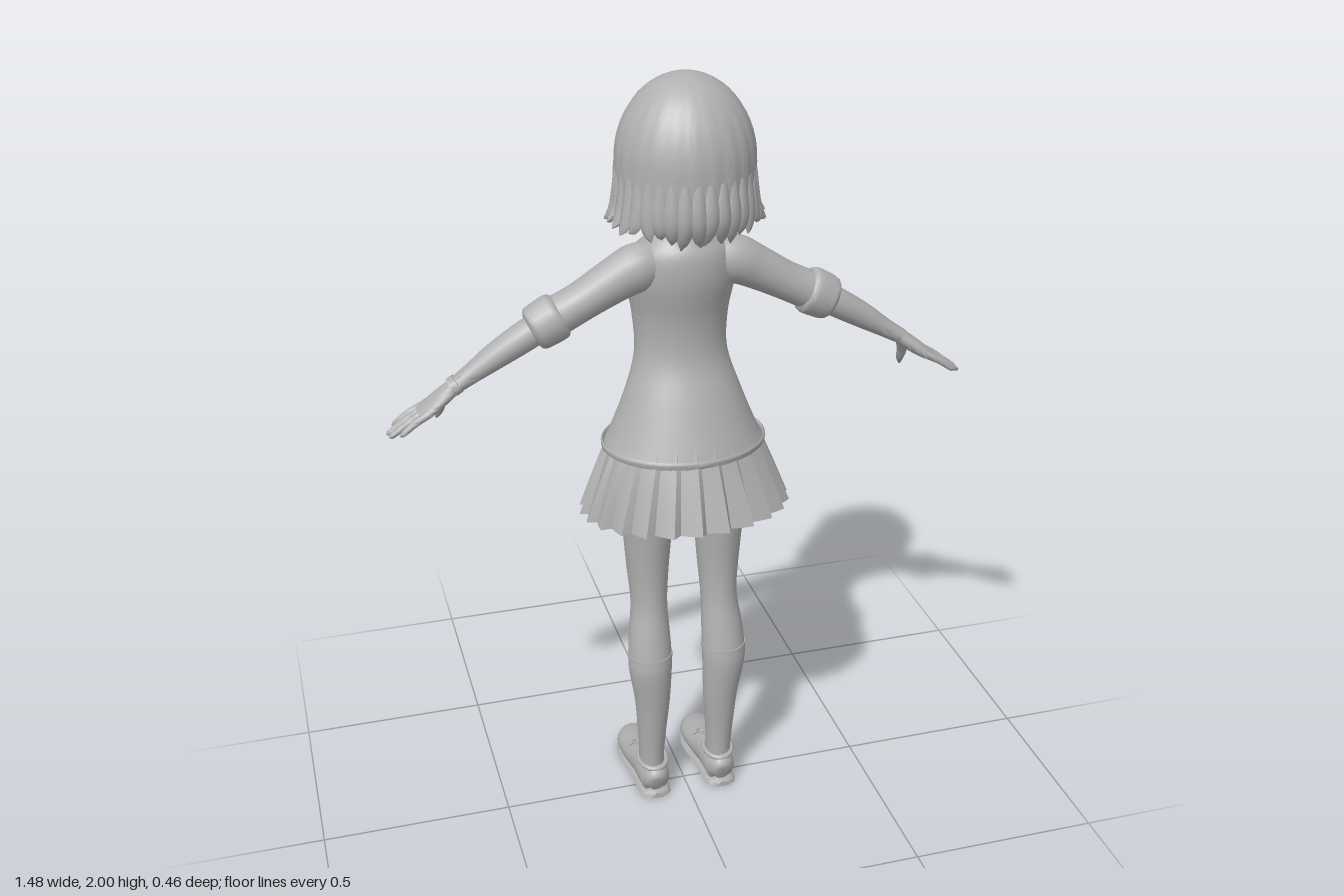
import * as THREE from 'three';
import { toCreasedNormals } from 'three/addons/utils/BufferGeometryUtils.js';

const V = (x, y, z) => new THREE.Vector3(x, y, z);
const clayGrey = new THREE.MeshStandardMaterial({ color: 0xb0b0b0, side: THREE.DoubleSide });
clayGrey.name = 'clayGrey';

// Surface from a rule: i runs around, j runs along
function surface(rule, nu, nv, crease = 0.9) {
  const pos = [], idx = [];
  for (let j = 0; j <= nv; j++) for (let i = 0; i <= nu; i++) pos.push(...rule(i / nu, j).toArray());
  for (let j = 0; j < nv; j++) for (let i = 0; i < nu; i++) {
    const a = j * (nu + 1) + i, d = a + nu + 1;
    idx.push(a, a + 1, d + 1, a, d + 1, d);
  }
  const g = new THREE.BufferGeometry();
  g.setAttribute('position', new THREE.Float32BufferAttribute(pos, 3));
  g.setIndex(idx);
  return toCreasedNormals(g, crease);
}

// Elliptical loft through sections [x, y, z, radius along ref, radius across]
function loft(sections, o = {}) {
  const { ref = V(0, 0, 1), dir = null, nu = 20, arc = Math.PI, cap = true, minY = -9 } = o;
  const n = (sections.length - 1) * (o.steps || 4);
  const path = new THREE.CatmullRomCurve3(sections.map(s => V(s[0], s[1], s[2])), false, 'catmullrom', 0.5);
  const rad = new THREE.CatmullRomCurve3(sections.map(s => V(s[3], s[4], 0)), false, 'catmullrom', 0.5);
  const rings = [];
  for (let k = 0; k <= n; k++) {
    const c = path.getPoint(k / n), r = rad.getPoint(k / n), w = dir || path.getTangent(k / n);
    const u = ref.clone().addScaledVector(w, -ref.dot(w)).normalize();
    rings.push({ c, u: u.clone().multiplyScalar(r.x), v: w.clone().cross(u).multiplyScalar(r.y) });
  }
  const e = cap ? 1 : 0;
  return surface((s, j) => {
    const k = Math.min(n, Math.max(0, j - e)), th = -arc + 2 * arc * s, R = rings[k];
    const p = R.c.clone();
    if (!(cap && (j === 0 || j === n + 2))) p.addScaledVector(R.u, Math.cos(th)).addScaledVector(R.v, Math.sin(th));
    p.y = Math.max(p.y, minY);
    return p;
  }, nu, n + 2 * e);
}

const UP = V(0, 1, 0);
// Body profile rows [y, back z, front z, half width]
const body = (rows, x = 0, k = 1) => rows.map(([y, b, f, w, dx = 0]) => [x + dx, y, (b + f) / 2, (b - f) / 2 * k, w * k]);

const TORSO = [[1.06, 0.165, -0.17, 0.205], [1.1, 0.15, -0.16, 0.185], [1.2, 0.11, -0.13, 0.146], [1.3, 0.07, -0.122, 0.116],
  [1.4, 0.068, -0.138, 0.119], [1.5, 0.088, -0.142, 0.135], [1.57, 0.088, -0.11, 0.122], [1.61, 0.07, -0.065, 0.085], [1.63, 0.055, -0.04, 0.05]];
const LEG = [[0.06, 0.055, -0.03, 0.033], [0.12, 0.058, -0.03, 0.034], [0.2, 0.066, -0.025, 0.039], [0.3, 0.078, -0.02, 0.047],
  [0.4, 0.09, -0.021, 0.057, 0.006], [0.45, 0.088, -0.025, 0.058, 0.006], [0.52, 0.075, -0.038, 0.054, 0.004], [0.6, 0.06, -0.057, 0.048],
  [0.7, 0.057, -0.074, 0.055], [0.85, 0.07, -0.08, 0.067], [1.0, 0.08, -0.09, 0.08]];
const HEAD = [[1.637, -0.085, -0.125, 0.02], [1.66, 0.0, -0.138, 0.06], [1.7, 0.06, -0.14, 0.1], [1.75, 0.1, -0.14, 0.122],
  [1.82, 0.12, -0.142, 0.13], [1.9, 0.1, -0.11, 0.11], [1.95, 0.05, -0.05, 0.05]];

// Hair volume: theta 0 is the back, PI is the face side
function hairPoint(th, y, k = 1) {
  const r = (y > 1.8 ? Math.sqrt(Math.max(0, 1 - ((y - 1.8) / 0.2) ** 2)) : 1) * k * 0.165;
  return V(r * Math.sin(th), y, 0.015 + r * Math.cos(th));
}
const faceSide = th => THREE.MathUtils.smoothstep((1 - Math.cos(th)) / 2, 0.7, 0.86);
const hairHem = th => THREE.MathUtils.lerp(1.68, 1.85, faceSide(th));

export function createModel() {
  const root = new THREE.Group();
  root.name = 'girl';
  const add = (name, geo, parent = root) => {
    const m = new THREE.Mesh(geo, clayGrey);
    m.name = name;
    parent.add(m);
    return m;
  };
  const group = name => {
    const g = new THREE.Group();
    g.name = name;
    root.add(g);
    return g;
  };

  // Head and face
  add('head', loft(body(HEAD), { dir: UP, nu: 32 }));
  add('neck', loft([[0, 1.56, 0.02, 0.045, 0.045], [0, 1.63, 0.005, 0.042, 0.042], [0, 1.7, 0, 0.045, 0.045]], { dir: UP }));
  add('nose', loft([[0, 1.748, -0.136, 0.004, 0.004], [0, 1.722, -0.145, 0.011, 0.009], [0, 1.714, -0.138, 0.004, 0.006]], { dir: UP, nu: 10 }));
  add('mouth', new THREE.SphereGeometry(1, 12, 6)).scale.set(0.018, 0.002, 0.004);
  root.children.at(-1).position.set(0, 1.684, -0.139);
  for (const s of [-1, 1]) {
    const eye = group('eye');
    eye.position.set(s * 0.052, 1.747, -0.126);
    eye.rotation.y = s * -0.38 + Math.PI;
    eye.rotation.y = Math.PI - s * 0.38;
    add('iris', new THREE.SphereGeometry(1, 16, 8), eye).scale.set(0.018, 0.024, 0.004);
    const lash = add('eyelash', new THREE.TorusGeometry(0.026, 0.0025, 5, 14, 2.5), eye);
    lash.rotation.z = 0.32;
    add('ear', new THREE.SphereGeometry(1, 12, 8)).scale.set(0.014, 0.032, 0.022);
    root.children.at(-1).position.set(s * 0.128, 1.735, -0.02);
  }

  // Hair: cap with soft grooves, then tapered locks along its hem
  const hair = group('hair');
  add('hairCap', surface((s, j) => {
    const th = s * Math.PI * 2, t = j / 18, h = hairHem(th);
    const y = h + (2 - h) * Math.sin(t * Math.PI / 2);
    return hairPoint(th, y, 1 + 0.02 * Math.abs(Math.sin(th * 11)) * (1 - t));
  }, 132, 18), hair);
  for (let i = 0; i < 34; i++) {
    const th = (i + 0.5) / 34 * Math.PI * 2, f = faceSide(th), side = Math.abs(Math.sin(th)) * (1 - f);
    const h = hairHem(th), vary = ((i * 7) % 5) / 5;
    const tip = h - THREE.MathUtils.lerp(0.065 - 0.04 * side, 0.06, f) - 0.02 * (vary - 0.5);
    const turn = ((i * 3) % 4 - 1.5) * 0.05;
    const out = THREE.MathUtils.lerp(0.84 + 0.34 * side * side, 0.97, f);
    const pts = [[th, h + 0.1, 0.97, 0.008, 0.012], [th, h + 0.02, 1.0, 0.013, 0.022],
      [th + turn * 0.4, (h + tip) / 2, (1 + out) / 2, 0.009, 0.016], [th + turn, tip, out, 0.001, 0.001]];
    add('hairLock', loft(pts.map(([a, y, k, r1, r2]) => [...hairPoint(a, y, k).toArray(), r1, r2]),
      { ref: V(Math.sin(th), 0, Math.cos(th)), nu: 8, steps: 3 }), hair);
  }
  // Two crossed bars as a hair clip
  for (const r of [-0.5, 0.5]) {
    const clip = add('hairClip', new THREE.BoxGeometry(0.035, 0.005, 0.006), hair);
    clip.position.set(-0.075, 1.835, -0.143);
    clip.rotation.set(0, -0.45, r);
  }

  // Shirt, open cardigan and its edging
  add('shirt', loft(body(TORSO, 0, 0.965), { dir: UP, nu: 40 }));
  const open = Math.PI - 0.3;
  add('cardigan', loft(body(TORSO.slice(0, -1), 0, 1.01), { dir: UP, nu: 44, arc: open, cap: false }));
  for (const s of [-1, 1]) {
    const edge = body(TORSO.slice(0, -1), 0, 1.012).map(([x, y, z, rz, rx]) =>
      [x + s * rx * Math.sin(open), y, z + rz * Math.cos(open), 0.004, 0.01]);
    add('cardiganEdge', loft(edge, { dir: UP, nu: 8 }));
    add('shirtTail', loft([[s * 0.035, 1.02, -0.172, 0.002, 0.003], [s * 0.035, 1.07, -0.165, 0.004, 0.035], [s * 0.03, 1.12, -0.148, 0.004, 0.032]], { dir: UP, nu: 8 }));
  }
  add('cardiganHem', surface((s, j) => {
    const th = -open + 2 * open * s, a = j / 8 * Math.PI * 2, k = 1.01 + 0.02 * Math.cos(a);
    return V(0.205 * k * Math.sin(th), 1.068 + 0.01 * Math.sin(a), -0.0025 + 0.1675 * k * Math.cos(th));
  }, 44, 8));

  // Collar with points at the front
  const ca = Math.PI - 0.14;
  add('collar', surface((s, j) => {
    const th = -ca + 2 * ca * s, f = (1 - Math.cos(th)) / 2, t = [0, 0.5, 1, 1.6][j];
    const point = Math.exp(-(((Math.abs(th) - 2.65) / 0.35) ** 2));
    const r = t <= 1 ? 0.075 - 0.023 * t + 0.012 * point * (1 - t) : 0.046;
    const y = 1.6 + 0.045 * Math.min(t, 2 - t) - 0.045 * f - 0.035 * point * Math.max(0, 1 - t);
    return V(r * Math.sin(th), y, 0.01 - 0.03 * f + r * Math.cos(th));
  }, 40, 3));

  // Neck ribbon and shirt buttons
  add('ribbonKnot', new THREE.SphereGeometry(0.014, 12, 8)).position.set(0, 1.545, -0.125);
  for (const s of [-1, 1]) {
    add('ribbonTail', loft([[0, 1.545, -0.125, 0.004, 0.006], [s * 0.012, 1.48, -0.148, 0.004, 0.01],
      [s * 0.014, 1.42, -0.147, 0.004, 0.012], [s * 0.022, 1.35, -0.144, 0.003, 0.007]], { nu: 8 }));
    add('ribbonLoop', new THREE.TorusGeometry(0.02, 0.004, 6, 16)).scale.set(0.6, 1.4, 0.8);
    const loop = root.children.at(-1);
    loop.position.set(s * 0.014, 1.52, -0.135);
    loop.rotation.z = s * 0.4;
  }
  [[1.32, -0.121], [1.24, -0.121], [1.16, -0.139]].forEach(([y, z]) =>
    add('button', new THREE.SphereGeometry(0.006, 8, 6)).position.set(0, y, z));

  // Pleated skirt: each pleat rises slowly and folds back sharply
  const PLEATS = 24;
  add('skirt', surface((s, j) => {
    const t = j / 8, n = s * PLEATS, ph = n - Math.floor(n + 1e-6);
    const tooth = ph < 0.8 ? ph / 0.8 : (1 - ph) / 0.2;
    const th = s * Math.PI * 2, k = 1 + (0.02 + 0.07 * (1 - t)) * (tooth - 0.6);
    const flare = (1 - t) ** 0.85;
    return V((0.165 + 0.1 * flare) * k * Math.sin(th), 0.885 + 0.245 * t + 0.015 * (1 - t) * Math.cos(th),
      0.008 * flare - 0.005 * t + (0.14 + 0.073 * flare) * k * Math.cos(th));
  }, PLEATS * 5, 8, 0.5));

  for (const s of [-1, 1]) {
    // Leg with sock band
    add('leg', loft(body(LEG.map(r => [...r.slice(0, 4), s * (r[4] || 0)]), s * 0.096), { dir: UP, nu: 24 }));
    add('sockTop', loft([[s * 0.102, 0.445, 0.032, 0.0585, 0.0595], [s * 0.102, 0.458, 0.031, 0.0585, 0.0595]], { dir: UP, nu: 24 }));

    // Shoe: upper, sole, collar and laces
    const shoe = group('shoe'), x = s * 0.094, ref = UP;
    add('shoeUpper', loft([[x, 0.04, 0.068, 0.025, 0.02], [x, 0.048, 0.05, 0.05, 0.038], [x, 0.05, 0.01, 0.05, 0.043], [x, 0.048, -0.04, 0.05, 0.045],
      [x, 0.036, -0.1, 0.044, 0.052], [x, 0.028, -0.17, 0.036, 0.054], [x, 0.025, -0.21, 0.027, 0.04], [x, 0.02, -0.226, 0.012, 0.018]], { ref, minY: 0.004 }), shoe);
    add('shoeSole', loft([[x, 0, 0.073, 0.015, 0.016], [x, 0, 0.05, 0.018, 0.042], [x, 0, -0.04, 0.018, 0.046],
      [x, 0, -0.13, 0.018, 0.058], [x, 0, -0.2, 0.018, 0.048], [x, 0, -0.23, 0.014, 0.016]], { ref, minY: 0 }), shoe);
    const rim = add('shoeCollar', new THREE.TorusGeometry(0.04, 0.007, 8, 24), shoe);
    rim.position.set(x, 0.097, 0.015);
    rim.rotation.x = Math.PI / 2 + 0.1;
    rim.scale.set(0.95, 1.2, 1);
    for (const side of [-1, 1]) {
      const bow = add('laceBow', new THREE.TorusGeometry(0.016, 0.003, 6, 14), shoe);
      bow.position.set(x + side * 0.02, 0.094, -0.065);
      bow.rotation.set(1.2, side * 0.3, 0);
      add('lace', loft([[x, 0.093, -0.06, 0.003, 0.003], [x + side * 0.025, 0.088, -0.08, 0.003, 0.003], [x + side * 0.04, 0.07, -0.09, 0.003, 0.003]], { nu: 6 }), shoe);
    }

    // Sleeve, rolled cuff, forearm and hand
    const arm = group('arm');
    const limb = (name, rows, nu = 18) => add(name, loft(rows.map(([px, ...r]) => [s * px, ...r]), { nu }), arm);
    limb('sleeve', [[0.07, 1.55, 0.015, 0.045, 0.05], [0.12, 1.54, 0.015, 0.056, 0.06], [0.18, 1.51, 0.012, 0.053, 0.054], [0.26, 1.465, 0.01, 0.05, 0.048], [0.34, 1.425, 0.01, 0.051, 0.05]]);
    limb('rolledCuff', [[0.308, 1.441, 0.01, 0.049, 0.049], [0.318, 1.436, 0.01, 0.056, 0.059], [0.345, 1.422, 0.01, 0.056, 0.059], [0.372, 1.408, 0.01, 0.053, 0.055], [0.38, 1.404, 0.01, 0.042, 0.042]]);
    limb('forearm', [[0.34, 1.425, 0.01, 0.038, 0.038], [0.4, 1.39, 0.008, 0.039, 0.037], [0.47, 1.347, 0.004, 0.035, 0.032], [0.53, 1.308, 0.004, 0.028, 0.024], [0.58, 1.277, 0.005, 0.025, 0.019]]);
    limb('palm', [[0.565, 1.287, 0.005, 0.024, 0.018], [0.6, 1.26, 0.005, 0.035, 0.019], [0.635, 1.235, 0.007, 0.042, 0.016], [0.66, 1.22, 0.008, 0.04, 0.011]]);
    [[-0.025, 0.723, -0.033], [-0.003, 0.74, -0.005], [0.019, 0.736, 0.02], [0.04, 0.713, 0.046]].forEach(([z, tip, zt]) => {
      const ty = 1.222 - (tip - 0.65) * 0.57;
      limb('finger', [[0.635, 1.235, z, 0.01, 0.01], [(0.635 + tip) / 2, (1.235 + ty) / 2 + 0.003, (z + zt) / 2, 0.0095, 0.009], [tip - 0.01, ty + 0.006, zt, 0.008, 0.007], [tip, ty, zt, 0.003, 0.003]], 10);
    });
    limb('thumb', [[0.585, 1.262, -0.012, 0.014, 0.014], [0.6, 1.225, -0.036, 0.014, 0.013], [0.604, 1.195, -0.056, 0.011, 0.01], [0.61, 1.172, -0.07, 0.004, 0.004]], 10);
    // Wristwatch on one arm only
    if (s < 0) {
      limb('watchStrap', [[0.562, 1.289, 0.005, 0.029, 0.023], [0.578, 1.279, 0.005, 0.029, 0.023]]);
      const dial = add('watchDial', new THREE.CylinderGeometry(0.017, 0.017, 0.01, 18), arm);
      dial.position.set(-0.558, 1.305, 0.005);
      dial.rotation.z = 0.56;
    }
  }
  return root;
}
